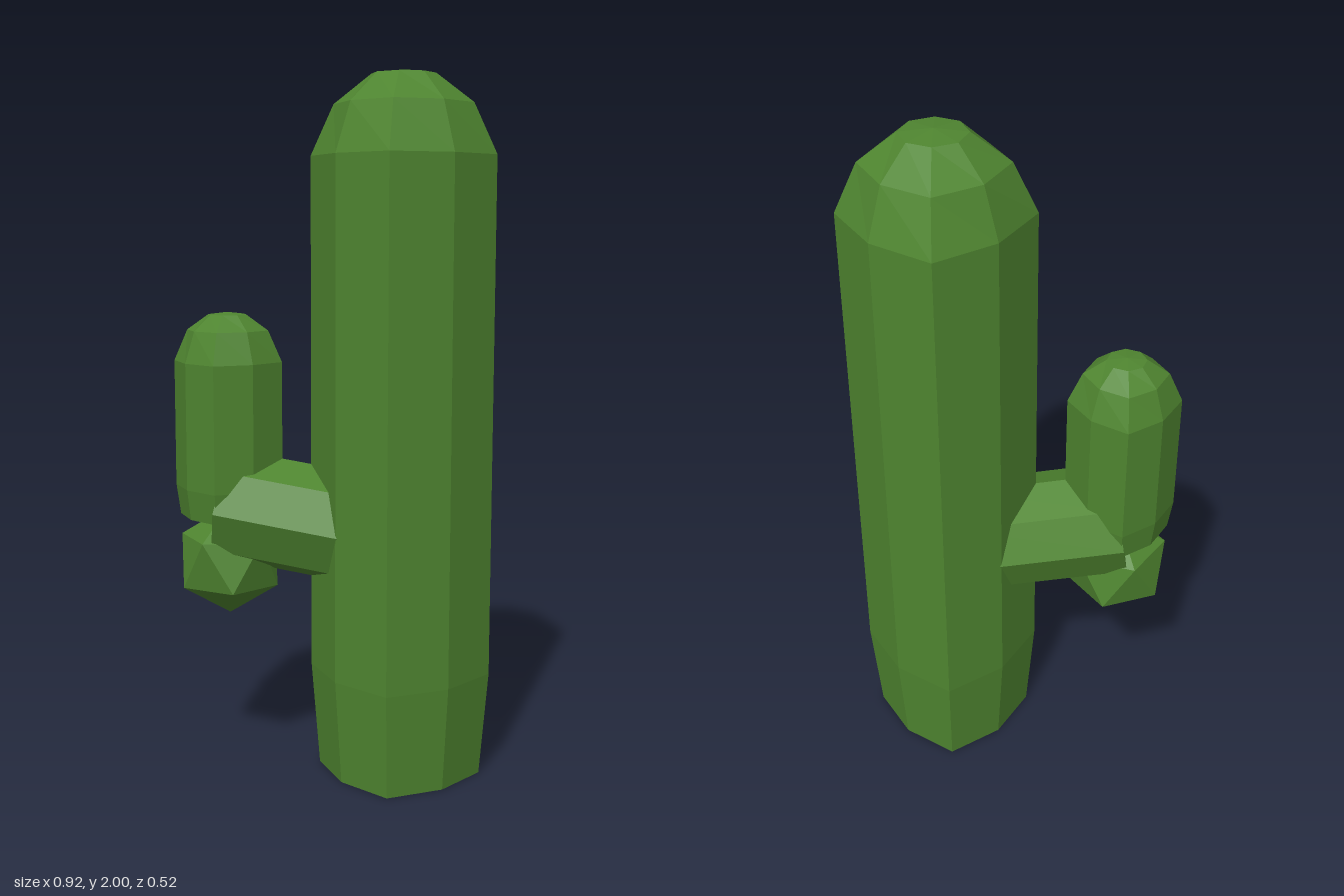
import * as THREE from 'three';

const cactusGreen = new THREE.MeshStandardMaterial({ color: 0x4f8530 });
cactusGreen.name = 'cactusGreen';

// Faceted mesh with one normal per face
function facetedMesh(name, geometry) {
  const flat = geometry.index ? geometry.toNonIndexed() : geometry;
  flat.computeVertexNormals();
  const mesh = new THREE.Mesh(flat, cactusGreen);
  mesh.name = name;
  return mesh;
}

// Eight-sided column; rows are [radius, height, pull of the diagonal corners]
function column(name, rows) {
  const points = rows.map(([r, y]) => new THREE.Vector2(r, y));
  const geometry = new THREE.LatheGeometry(points, 8);
  const pos = geometry.attributes.position;
  for (let i = 0; i < pos.count; i++) {
    const corner = Math.floor(i / rows.length);
    const pull = corner % 2 ? rows[i % rows.length][2] : 1;
    pos.setX(i, pos.getX(i) * pull);
    pos.setZ(i, pos.getZ(i) * pull);
  }
  return facetedMesh(name, geometry);
}

export function createModel() {
  const cactus = new THREE.Group();
  cactus.name = 'cactus';

  // Tall trunk with a narrowed foot and a domed top
  const trunk = column('trunk', [
    [0, 0, 1], [0.235, 0, 0.87], [0.26, 0.3, 0.87], [0.26, 1.77, 0.87],
    [0.195, 1.91, 0.91], [0.09, 1.99, 1], [0, 2, 1],
  ]);
  trunk.position.x = 0.202;

  // Upright part of the side arm
  const upperArm = column('upperArm', [
    [0, 0.737, 1], [0.147, 0.737, 0.87], [0.16, 0.825, 0.87], [0.16, 1.19, 0.87],
    [0.12, 1.28, 0.91], [0.056, 1.325, 1], [0, 1.332, 1],
  ]);
  upperArm.position.x = -0.303;

  // Sloping branch that joins the arm to the trunk
  const branch = facetedMesh('branch', new THREE.CylinderGeometry(0.163, 0.163, 0.465, 8));
  branch.rotation.z = -Math.PI / 2 - 0.152;
  branch.position.set(-0.08, 0.735, 0);

  // Knobbly elbow below the arm, standing on one corner
  const ball = new THREE.IcosahedronGeometry(0.161, 0);
  ball.rotateZ(Math.atan(2 / (1 + Math.sqrt(5))));
  const elbow = facetedMesh('elbow', ball);
  elbow.position.set(-0.303, 0.605, 0);

  cactus.add(trunk, upperArm, branch, elbow);
  return cactus;
}
